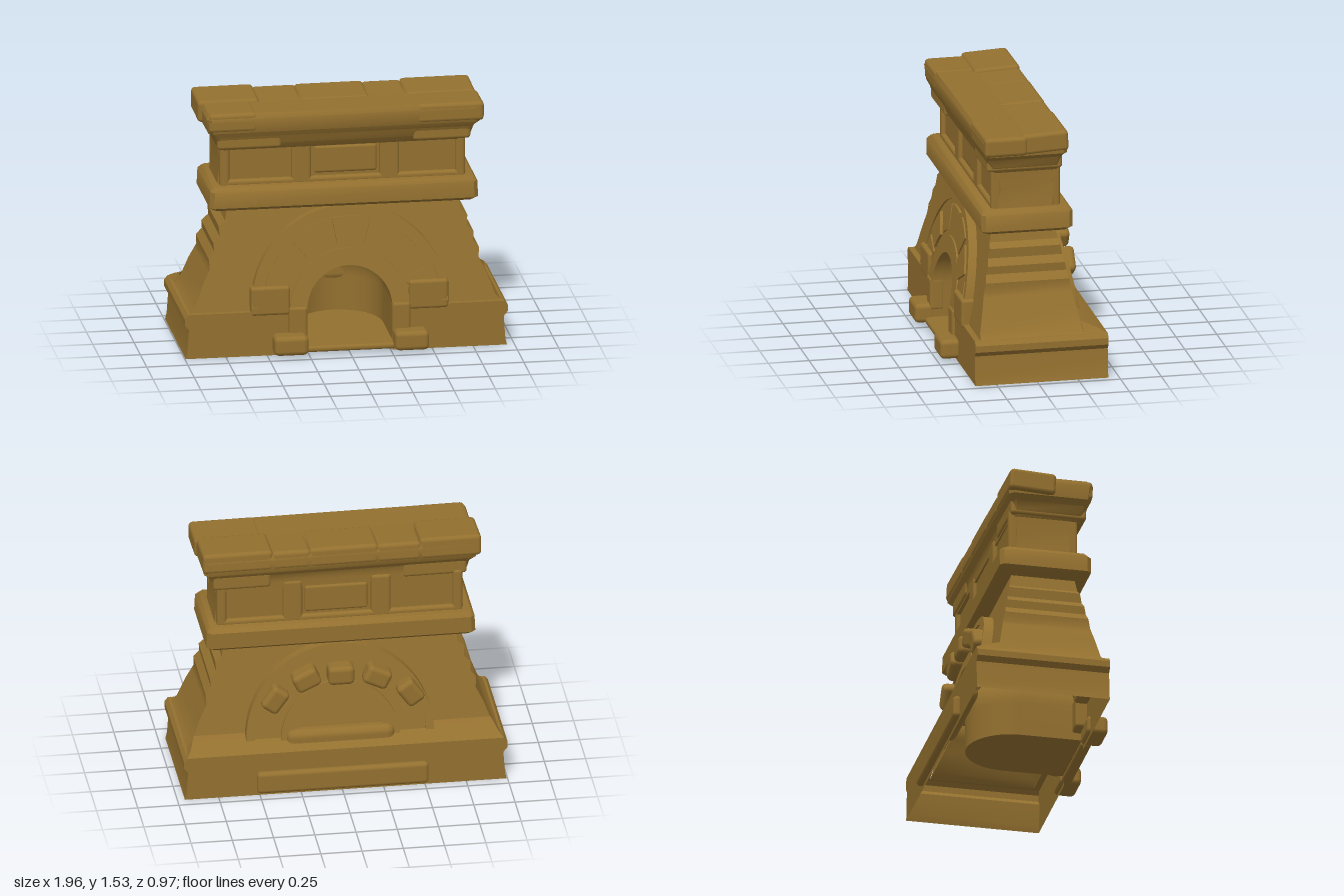
import * as THREE from 'three';
import { toCreasedNormals } from 'three/addons/utils/BufferGeometryUtils.js';
import { RoundedBoxGeometry } from 'three/addons/geometries/RoundedBoxGeometry.js';

const X = -0.02; // the masonry sits slightly off centre
const frontZ = (y) => 0.345 - 0.12 * (y - 0.27) / 0.62; // leaning front wall
const backZ = (y) => -0.295 + 0.13 * (y - 0.27) / 0.62; // leaning back wall
const plinthFrontZ = () => 0.38;
const plinthBackZ = () => -0.435;

export function createModel() {
  const model = new THREE.Group();
  const stone = new THREE.MeshStandardMaterial({ color: 0x93702f, side: THREE.DoubleSide });
  stone.name = 'ochre stone';
  let parent = model;

  function add(name, geometry) {
    const mesh = new THREE.Mesh(geometry, stone);
    mesh.name = name;
    parent.add(mesh);
    return mesh;
  }

  // Softened block given by its extents
  function block(name, x0, x1, y0, y1, z0, z1, r = 0.02) {
    const size = [x1 - x0, y1 - y0, z1 - z0];
    const mesh = add(name, new RoundedBoxGeometry(...size, 2, Math.min(r, Math.min(...size) * 0.45)));
    mesh.position.set((x0 + x1) / 2, (y0 + y1) / 2, (z0 + z1) / 2);
    return mesh;
  }

  // Flat shape laid on a leaning plane; flip for planes facing back
  function face(name, shape, zAt, flip = false) {
    const g = new THREE.ShapeGeometry(shape, 24);
    const p = g.attributes.position;
    for (let i = 0; i < p.count; i++) p.setZ(i, zAt(p.getY(i)));
    if (flip) g.index.array.reverse();
    g.computeVertexNormals();
    return add(name, g);
  }

  // Indexed surface with sharp creases
  function surface(name, pos, index, crease = 0.6) {
    const g = new THREE.BufferGeometry();
    g.setAttribute('position', new THREE.Float32BufferAttribute(pos, 3));
    g.setIndex(index);
    return add(name, toCreasedNormals(g, crease));
  }

  // Ribbon along [x, y] points between two planes
  function strip(name, points, rear, front) {
    const pos = [], index = [];
    points.forEach(([x, y], i) => {
      pos.push(x, y, rear(y), x, y, front(y));
      const a = i * 2;
      if (i) index.push(a - 2, a, a - 1, a - 1, a, a + 1);
    });
    return surface(name, pos, index);
  }

  // Raised relief: extruded shape whose faces follow z(y)
  function relief(name, shape, rear, front) {
    const g = new THREE.ExtrudeGeometry(shape, { depth: 1, bevelEnabled: false, curveSegments: 24 });
    const p = g.attributes.position;
    for (let i = 0; i < p.count; i++) {
      p.setZ(i, (p.getZ(i) > 0.5 ? front : rear)(p.getY(i)));
    }
    return add(name, toCreasedNormals(g, 0.6));
  }
  const onFront = (name, shape, h) => relief(name, shape, (y) => frontZ(y) - 0.01, (y) => frontZ(y) + h);
  const onBack = (name, shape, h) => relief(name, shape, (y) => backZ(y) - h, (y) => backZ(y) + 0.01);

  // Stack of chamfered rectangles: [y, halfWidth, zBack, zFront]
  function loft(name, sections, c = 0.025) {
    const pos = [], index = [];
    for (const [y, w, z0, z1] of sections) {
      const ring = [[-w, z1 - c], [-w + c, z1], [w - c, z1], [w, z1 - c],
        [w, z0 + c], [w - c, z0], [-w + c, z0], [-w, z0 + c]];
      for (const [x, z] of ring) pos.push(X + x, y, z);
    }
    const top = (sections.length - 1) * 8;
    for (let k = 0; k < top; k += 8) {
      for (let i = 0; i < 8; i++) {
        const j = (i + 1) % 8;
        index.push(k + i, k + j, k + 8 + j, k + i, k + 8 + j, k + 8 + i);
      }
    }
    for (let i = 1; i < 7; i++) index.push(0, i + 1, i, top, top + i, top + i + 1);
    return surface(name, pos, index, 0.75);
  }

  // Symmetric outline from a right-hand profile, with an optional bottom path
  function outline(profile, bottom = () => {}) {
    const s = new THREE.Shape();
    s.moveTo(X - profile[0][0], profile[0][1]);
    bottom(s);
    for (const [x, y] of profile) s.lineTo(X + x, y);
    for (const [x, y] of profile.slice(1).reverse()) s.lineTo(X - x, y);
    return s;
  }

  function sector(cy, r0, r1, a0, a1) {
    const s = new THREE.Shape();
    s.absarc(0, cy, r1, a0, a1, false);
    s.absarc(0, cy, r0, a1, a0, true);
    return s;
  }

  // Hollow plinth, open below and notched at the front
  const plinth = [[0.975, 0], [0.965, 0.04], [0.955, 0.18], [0.98, 0.21], [0.98, 0.25], [0.96, 0.275]];
  const notch = [[-0.26, 0], [-0.26, 0.275], [0.26, 0.275], [0.26, 0]];
  face('plinthFront', outline(plinth, (s) => notch.forEach(([x, y]) => s.lineTo(x, y))), plinthFrontZ);
  face('plinthBack', outline(plinth), plinthBackZ, true);
  strip('plinthTopFront', [[X - 0.96, 0.275], [-0.26, 0.275]], frontZ, plinthFrontZ);
  strip('plinthTopFront', [[0.26, 0.275], [X + 0.96, 0.275]], frontZ, plinthFrontZ);

  // Hollow tapering body with stepped courses along its sides
  const courses = [[0.945, 0.275], [0.91, 0.31], [0.86, 0.44], [0.83, 0.5], [0.815, 0.53], [0.82, 0.59],
    [0.785, 0.635], [0.79, 0.685], [0.75, 0.725], [0.755, 0.785], [0.715, 0.815], [0.7, 0.895]];
  face('bodyFront', outline(courses, (s) => {
    s.lineTo(-0.26, 0.275);
    s.absarc(0, 0.275, 0.26, Math.PI, 0, true);
  }), frontZ);
  face('bodyBack', outline(courses), backZ, true);
  for (const s of [-1, 1]) {
    const side = (points) => points.map(([x, y]) => [X + s * x, y]).sort((a, b) => s * (a[1] - b[1]));
    strip('plinthSide', side(plinth), plinthBackZ, plinthFrontZ);
    strip('bodySide', side(courses), backZ, frontZ);
    strip('plinthTopSide', side([[0.96, 0.275], [0.945, 0.276]]), plinthBackZ, plinthFrontZ);
  }

  // Sloping shoulder behind the body, closed at both ends
  const slope = [[0.96, 0.275, -0.435], [0.93, 0.305, -0.38], [0.9, 0.345, -0.28], [0.945, 0.275, -0.295]];
  surface('backShoulder', slope.flatMap(([w, y, z]) => [X - w, y, z, X + w, y, z]),
    [0, 2, 1, 1, 2, 3, 2, 4, 3, 3, 4, 5, 0, 6, 2, 2, 6, 4, 1, 3, 7, 3, 5, 7]);

  // Firebox: vaulted tunnel, rounded rear and D-shaped floor
  const vault = [[-0.26, 0.06]];
  for (let i = 0; i <= 24; i++) {
    const a = Math.PI * (1 - i / 24);
    vault.push([0.26 * Math.cos(a), 0.275 + 0.26 * Math.sin(a)]);
  }
  vault.push([0.26, 0.06]);
  strip('fireboxVault', vault, () => 0, (y) => (y < 0.276 ? 0.38 : frontZ(y)));
  const apseWall = add('fireboxWall', new THREE.CylinderGeometry(0.26, 0.26, 0.215, 24, 1, true, Math.PI / 2, Math.PI));
  apseWall.position.y = 0.1675;
  apseWall.scale.z = 1.08;
  const apseDome = add('fireboxDome', new THREE.SphereGeometry(0.26, 24, 10, 0, Math.PI, 0, Math.PI / 2));
  apseDome.rotation.y = Math.PI;
  apseDome.position.y = 0.275;
  apseDome.scale.z = 1.08;
  const floorShape = new THREE.Shape();
  floorShape.moveTo(-0.26, -0.4);
  floorShape.lineTo(0.26, -0.4);
  floorShape.absellipse(0, 0, 0.26, 0.28, 0, Math.PI, false);
  const floor = add('fireboxFloor', new THREE.ShapeGeometry(floorShape, 24));
  floor.rotation.x = -Math.PI / 2;
  floor.position.y = 0.06;

  // Front arch: backing, rim, inner band and voussoirs
  onFront('archBacking', sector(0.3, 0.27, 0.58, 0, Math.PI), 0.04);
  onFront('archRim', sector(0.3, 0.555, 0.595, 0, Math.PI), 0.052);
  onFront('archInnerBand', sector(0.275, 0.258, 0.36, 0, Math.PI), 0.05);
  for (let i = 0; i < 7; i++) {
    const a = Math.PI * (i + 0.5) / 7;
    onFront('archStone', sector(0.3, 0.37, 0.525, a - 0.18, a + 0.18), 0.05 + 0.006 * (i % 2));
  }

  // Piers, hearth feet and sill
  for (const s of [-1, 1]) {
    const span = (a, b) => (s > 0 ? [a, b] : [-b, -a]);
    block('archPier', ...span(0.36, 0.6), 0.25, 0.43, 0.3, 0.39);
    block('openingJamb', ...span(0.256, 0.37), 0.1, 0.3, 0.31, 0.4);
    block('hearthFoot', ...span(0.262, 0.47), 0.02, 0.14, 0.36, 0.49, 0.03);
  }
  block('hearthSill', -0.27, 0.27, 0.02, 0.058, 0.365, 0.43);

  // Back arch with projecting stones, niche rib and footing
  onBack('backArchBacking', sector(0.31, 0.3, 0.55, 0, Math.PI), 0.05);
  onBack('backArchRim', sector(0.31, 0.52, 0.57, 0, Math.PI), 0.06);
  onBack('backNicheRib', sector(0.3, 0.27, 0.36, 0, Math.PI), 0.07);
  for (const [x, y, tilt] of [[-0.43, 0.56, 0.95], [-0.23, 0.68, 0.45], [-0.01, 0.71, 0], [0.2, 0.69, -0.45], [0.39, 0.57, -0.95]]) {
    block('backArchStone', x - 0.08, x + 0.08, y - 0.06, y + 0.06, -0.345, -0.22, 0.03).rotation.z = tilt;
  }
  block('backSill', -0.33, 0.33, 0.24, 0.38, -0.385, -0.27, 0.05);
  block('backFooting', -0.52, 0.52, 0.02, 0.16, -0.475, -0.42, 0.025);

  // Ledge and frieze
  loft('ledge', [[0.89, 0.79, -0.23, 0.28], [0.91, 0.815, -0.255, 0.305], [1.01, 0.81, -0.255, 0.305],
    [1.035, 0.79, -0.23, 0.285]]);
  loft('frieze', [[1.02, 0.755, -0.165, 0.21], [1.15, 0.74, -0.165, 0.21], [1.3, 0.75, -0.165, 0.21]]);

  // Panel frames on both faces of the frieze
  for (const [z0, z1] of [[0.17, 0.235], [-0.19, -0.13]]) {
    for (const x of [-0.27, 0.265]) block('friezePilaster', x - 0.06, x + 0.06, 1.02, 1.3, z0, z1);
    for (const x of [-0.735, 0.695]) block('friezeCorner', x - 0.03, x + 0.03, 1.02, 1.3, z0, z1);
    block('friezeFootRail', -0.74, 0.7, 1.02, 1.065, z0, z1);
    block('centrePanel', -0.19, 0.19, 1.08, 1.25, z0 + 0.012, z1 - 0.015);
  }

  // Flared cornice, turned a touch, with corner mouldings and uneven cap slabs
  parent = new THREE.Group();
  parent.name = 'corniceGroup';
  parent.rotation.y = 0.012;
  model.add(parent);
  loft('cornice', [[1.26, 0.75, -0.18, 0.24], [1.3, 0.775, -0.18, 0.265], [1.35, 0.79, -0.185, 0.28],
    [1.38, 0.825, -0.21, 0.295], [1.47, 0.835, -0.215, 0.305], [1.5, 0.82, -0.2, 0.29]]);
  block('cornerMoulding', -0.79, -0.4, 1.27, 1.37, -0.19, 0.275);
  block('cornerMoulding', 0.4, 0.75, 1.27, 1.37, -0.19, 0.275);
  for (const [x0, x1, top] of [[-0.875, -0.5, 1.525], [-0.51, -0.24, 1.508], [-0.25, 0.17, 1.512], [0.16, 0.4, 1.506], [0.39, 0.815, 1.517]]) {
    block('capSlab', x0, x1, 1.39, top, -0.215, 0.07, 0.025).rotation.x = 0.05;
  }
  block('capEnd', -0.845, -0.55, 1.385, 1.504, 0.04, 0.303, 0.025);
  block('capEnd', 0.42, 0.828, 1.385, 1.504, 0.04, 0.303, 0.025);

  return model;
}
